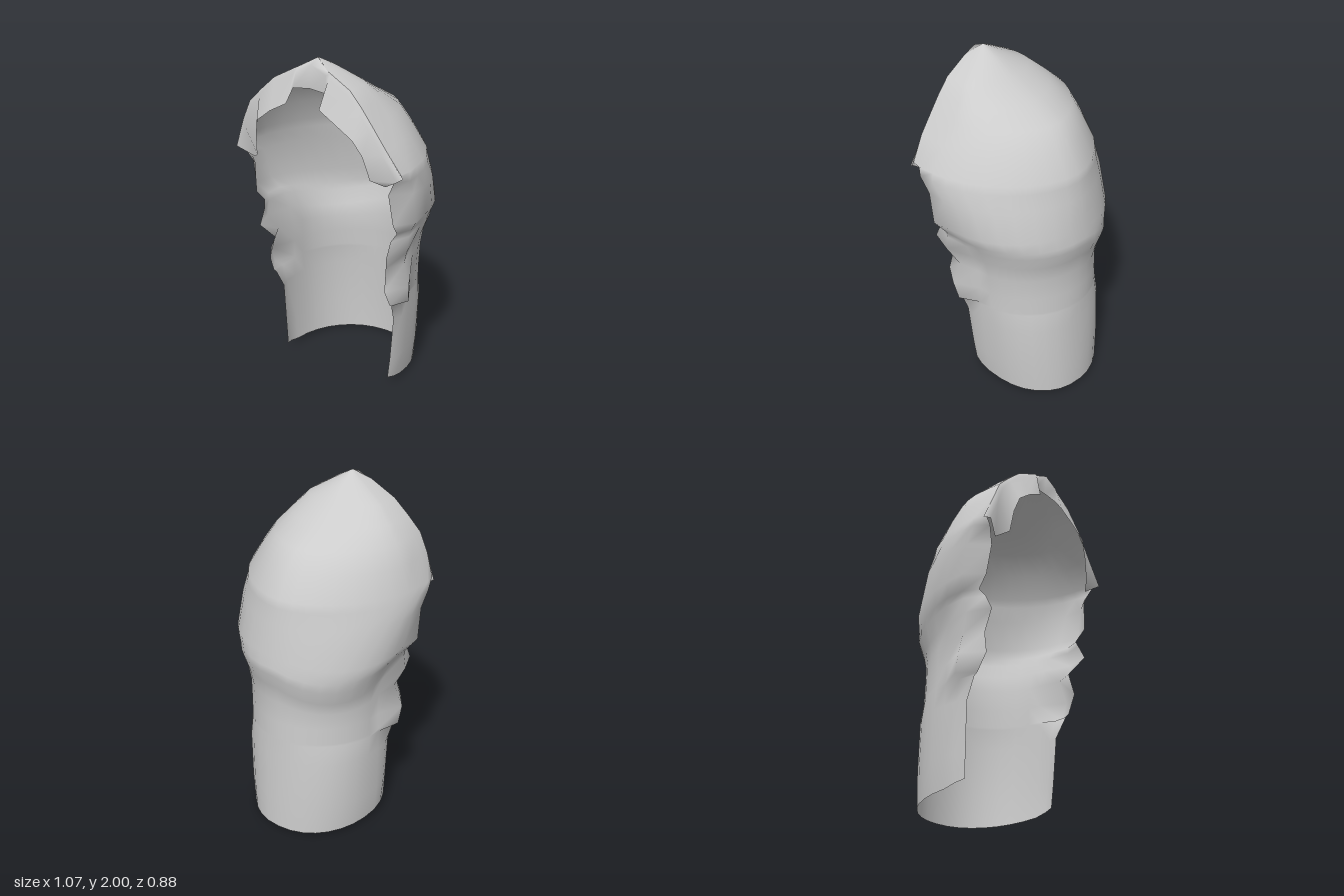
import * as THREE from 'three';

// Smooth surface lofted through rows of points
function loft(rows, material, name) {
  const n = rows[0].length, index = [];
  for (let r = 0; r < rows.length - 1; r++) {
    for (let c = 0; c < n - 1; c++) {
      const a = r * n + c, b = a + n;
      index.push(a, a + 1, b + 1, a, b + 1, b);
    }
  }
  const geometry = new THREE.BufferGeometry();
  geometry.setAttribute('position', new THREE.Float32BufferAttribute(rows.flat(2), 3));
  geometry.setIndex(index);
  geometry.computeVertexNormals();
  const mesh = new THREE.Mesh(geometry, material);
  mesh.name = name;
  return mesh;
}

// The front edges lean a little to the right at the hem and at the crown
function lean(y) {
  return -0.035 * Math.max(0, 1 - y) - 0.032 * Math.max(0, 1 - Math.abs(y - 1.71) / 0.24);
}

// Height, half width, z of widest point, back z, curl half width, front edge x, front edge z
const SECTIONS = [
  [0.00, 0.375, 0, -0.43, 0.375, 0.36, 0.125],
  [0.20, 0.393, 0, -0.425, 0.393, 0.37, 0.13],
  [0.48, 0.403, 0, -0.41, 0.405, 0.385, 0.14],
  [0.60, 0.405, 0, -0.405, 0.415, 0.40, 0.20],
  [0.615, 0.405, 0, -0.405, 0.465, 0.40, 0.22],
  [0.72, 0.405, 0, -0.40, 0.475, 0.39, 0.27],
  [0.85, 0.41, 0, -0.395, 0.43, 0.375, 0.24],
  [0.95, 0.425, 0.02, -0.41, 0.47, 0.42, 0.325],
  [1.04, 0.46, 0.03, -0.44, 0.47, 0.42, 0.28],
  [1.08, 0.475, 0.05, -0.435, 0.48, 0.44, 0.25],
  [1.15, 0.515, 0.08, -0.425, 0.53, 0.45, 0.31],
  [1.33, 0.53, 0.12, -0.395, 0.525, 0.43, 0.33],
  [1.42, 0.53, 0.20, -0.375, 0.535, 0.48, 0.36],
  [1.47, 0.52, 0.20, -0.37, 0.53, 0.515, 0.36],
  [1.60, 0.455, 0.20, -0.29, 0.455, 0.45, 0.375],
  [1.71, 0.39, 0.20, -0.21, 0.39, 0.385, 0.375],
  [1.79, 0.315, 0.22, -0.05, 0.32, 0.315, 0.375],
  [1.87, 0.235, 0.25, 0.10, 0.24, 0.235, 0.375],
  [1.95, 0.09, 0.30, 0.22, 0.095, 0.09, 0.375],
  [2.00, 0.001, 0.322, 0.32, 0.001, 0.001, 0.325],
];

// Fuller corners at the hem, a more pointed back on the head
function roundness(y) {
  if (y < 0.5) return 0.93;
  if (y < 0.9) return 1.03;
  return y < 1.2 ? 0.99 : 1.13;
}

// Horseshoe-shaped row: left front edge, round the back, right front edge
function horseshoe([y, w, zc, zb, curl, ex, ez]) {
  const points = [];
  const add = (x, z, back = 0, drop = 0) => {
    const lift = y === 0 ? Math.max(0, z + 0.43) * 0.07 + Math.max(0, z) * 0.2 : 0;
    points.push([x + lean(y) * (1 - 0.7 * back), y + lift - drop, z]);
  };
  const power = roundness(y);
  const sag = 0.08 * Math.max(0, 1 - Math.abs(y - 1) / 0.3);
  const zMid = zc + (ez - zc) * 0.55;
  add(ex, ez);
  add(curl, zMid);
  for (let i = 0; i <= 16; i++) {
    const c = Math.cos(Math.PI * i / 16), s = Math.abs(Math.sin(Math.PI * i / 16));
    // The swell above the neck hangs lower at the right rear
    const drop = sag * 2 * s * Math.max(0, -c);
    add(w * Math.sign(c) * Math.abs(c) ** power, zc + (zb - zc) * s ** power, s, drop);
  }
  add(-curl, zMid);
  add(-ex, ez);
  return points;
}

// Front fringe, from the centre parting to one temple
const INNER = [
  [0, 1.845, 0.385], [0.1, 1.835, 0.39], [0.103, 1.76, 0.44], [0.2, 1.705, 0.443],
  [0.3, 1.635, 0.443], [0.335, 1.55, 0.42], [0.36, 1.42, 0.40], [0.42, 1.38, 0.345],
];
const OUTER = [
  [0, 2, 0.325], [0.09, 1.95, 0.375], [0.11, 1.94, 0.375], [0.235, 1.87, 0.375],
  [0.315, 1.79, 0.375], [0.385, 1.71, 0.375], [0.45, 1.60, 0.375], [0.53, 1.45, 0.355],
];

// Middle row runs just inside the crest and turns forward
const MIDDLE = INNER.map((p, i) => {
  const [x, y, z] = OUTER[i].map((v, k) => v + (p[k] - v) * 0.17);
  return [x, y, Math.max(z, 0.39)];
});

function mirrored(half) {
  const other = half.slice(1).reverse().map(([x, y, z]) => [-x, y, z]);
  return [...other, ...half].map(([x, y, z]) => [x + lean(y), y, z]);
}

export function createModel() {
  const group = new THREE.Group();
  group.name = 'hair';
  const hair = new THREE.MeshStandardMaterial({ color: 0xcccccc, side: THREE.DoubleSide });
  hair.name = 'hair grey';

  // Crown, back and curled side locks
  group.add(loft(SECTIONS.map(horseshoe), hair, 'backAndSides'));

  // Fringe band framing the face
  group.add(loft([INNER, MIDDLE, OUTER].map(mirrored), hair, 'fringe'));
  return group;
}
